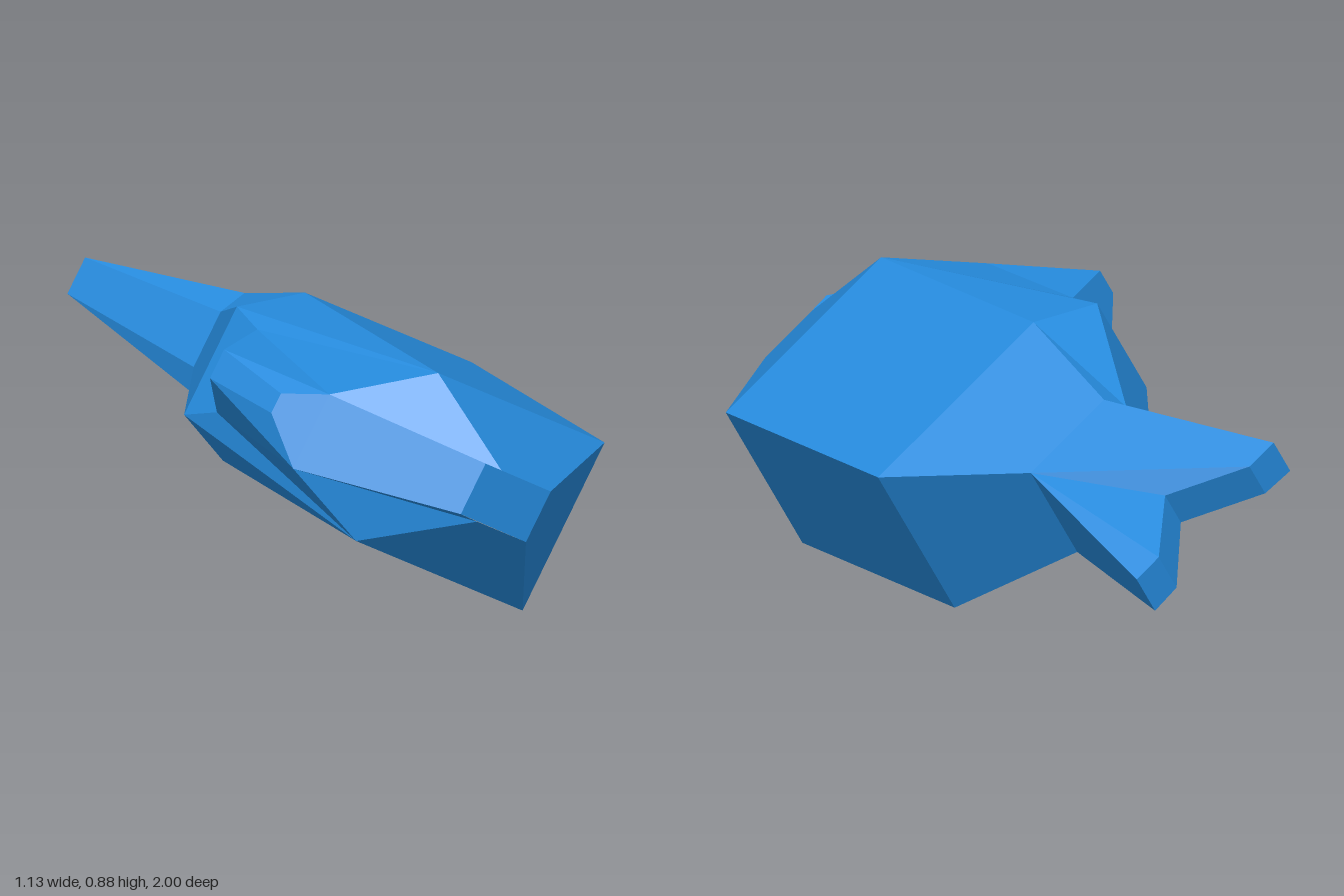
import * as THREE from 'three';

// Each station of the fish: [height u, thickness centre c, half thickness h, length z]
const S = {
  // snout
  noseLow: [-0.116, 0.451, 0.088, 1], noseMid: [-0.328, 0.451, 0.088, 1], noseTop: [-0.4, 0.453, 0.088, 1],
  // body: belly edge and shoulder edge
  bellyFront: [0.22, 0.427, 0.292, 0.72], bellyBack: [0.22, 0.427, 0.292, -0.045],
  sideFront: [-0.503, 0.427, 0.292, 0.72], sideBack: [-0.503, 0.427, 0.292, -0.045],
  // ridge of the back
  ridgeFront: [-0.744, 0.384, 0.129, 0.58], ridgeNotch: [-0.72, 0.424, 0.144, 0.09], ridgeBack: [-0.72, 0.408, 0.188, -0.05],
  // back fin
  finFront: [-0.831, 0.413, 0.034, 0.47], finBack: [-0.894, 0.43, 0.05, 0.2],
  // root of the tail
  rootLow: [-0.067, 0.432, 0.177, -0.43], rootSide: [-0.408, 0.432, 0.177, -0.43], rootTop: [-0.461, 0.43, 0.096, -0.43],
  // forked tail
  lowTip: [0.053, 0.392, 0.07, -0.995], lowInner: [-0.05, 0.395, 0.068, -0.995], fork: [-0.26, 0.403, 0.06, -0.8],
  topInner: [-0.47, 0.407, 0.06, -1], topTip: [-0.582, 0.403, 0.063, -1],
};

function point(name, side) {
  const [u, c, h, z] = S[name];
  return [u, c + side * h, z];
}

// Panels are mirrored to both sides; the rim closes the thickness between them.
function buildPart(name, panels, rims, material) {
  const pos = [];
  const fan = (pts) => {
    for (let i = 1; i < pts.length - 1; i++) pos.push(...pts[0], ...pts[i], ...pts[i + 1]);
  };
  for (const text of panels) {
    const loop = text.split(' ');
    fan(loop.map((n) => point(n, -1)));
    // keep the same diagonals on the mirrored side
    fan([loop[0], ...loop.slice(1).reverse()].map((n) => point(n, 1)));
  }
  for (const text of rims) {
    const line = text.split(' ');
    for (let i = 0; i < line.length - 1; i++) {
      const [a, b] = [line[i], line[i + 1]];
      fan([point(a, 1), point(a, -1), point(b, -1), point(b, 1)]);
    }
  }
  const geometry = new THREE.BufferGeometry();
  geometry.setAttribute('position', new THREE.Float32BufferAttribute(pos, 3));
  geometry.computeVertexNormals();
  const mesh = new THREE.Mesh(geometry, material);
  mesh.name = name;
  return mesh;
}

export function createModel() {
  const model = new THREE.Group();
  model.name = 'fish';
  const blue = new THREE.MeshStandardMaterial({ color: 0x258adc });
  blue.name = 'blue';

  const body = buildPart('body', [
    'noseLow noseMid sideFront bellyFront',
    'bellyFront sideFront sideBack bellyBack',
    'bellyBack sideBack rootSide rootLow',
    'noseMid noseTop ridgeFront sideFront',
    'sideFront ridgeFront ridgeNotch ridgeBack sideBack',
    'sideBack ridgeBack rootTop rootSide',
  ], [
    'rootTop ridgeBack ridgeNotch',
    'ridgeFront noseTop noseLow bellyFront bellyBack rootLow',
  ], blue);

  const fin = buildPart('backFin', ['ridgeFront finFront finBack ridgeNotch'],
    ['ridgeNotch finBack finFront ridgeFront'], blue);

  const tail = buildPart('tail', [
    'rootSide rootTop topTip topInner',
    'rootLow rootSide topInner fork lowInner lowTip',
  ], ['rootLow lowTip lowInner fork topInner topTip rootTop'], blue);

  // The fish leans over on its side
  const lean = new THREE.Group();
  lean.name = 'leaningFish';
  lean.rotation.z = -0.548;
  lean.add(body, fin, tail);
  model.add(lean);
  return model;
}
